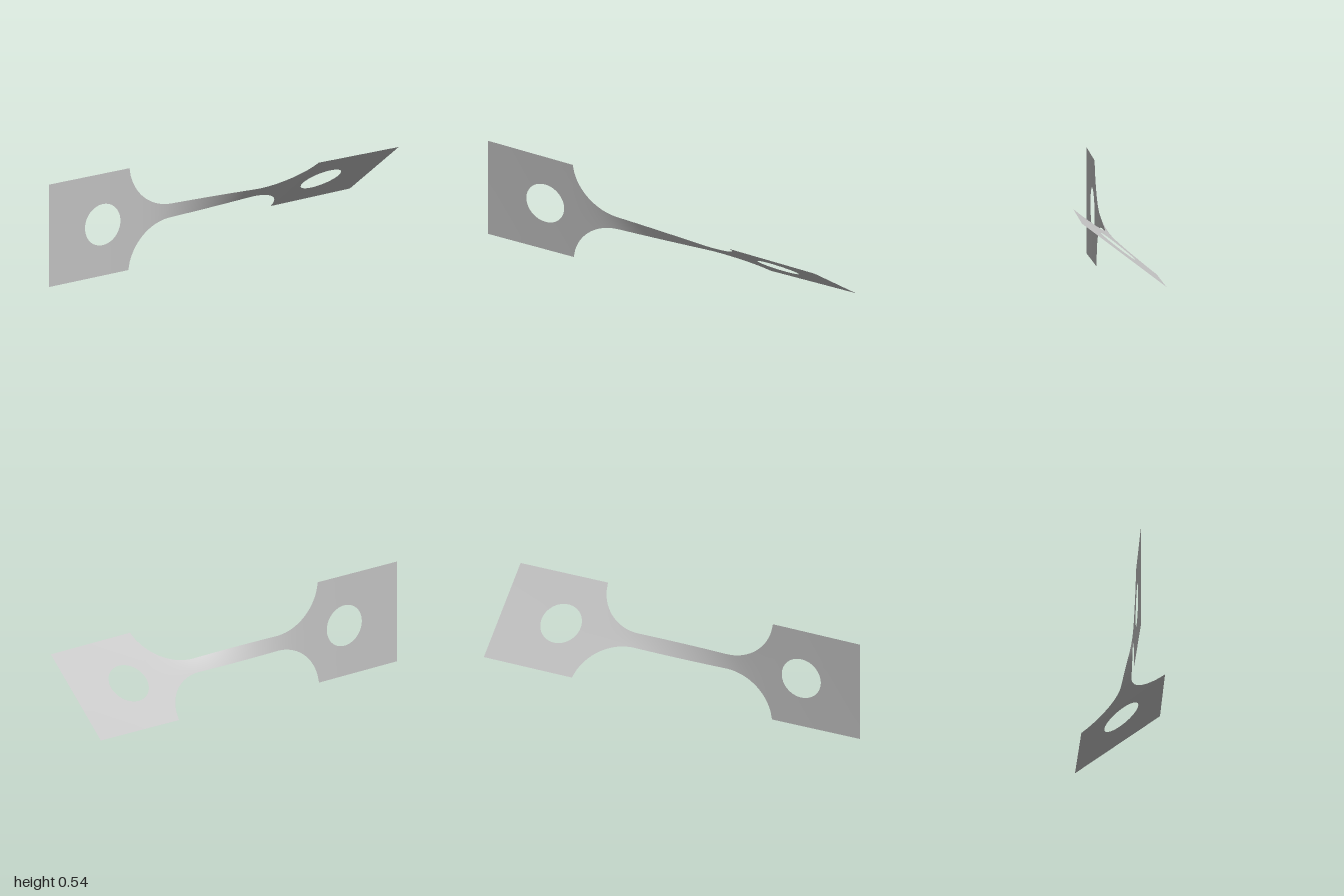
import * as THREE from 'three';
import { mergeVertices } from 'three/addons/utils/BufferGeometryUtils.js';

const HALF = 0.2705;        // half height of the end plates
const NECK = 0.0385;        // half height of the slim neck
const NECK_END = 0.25;      // where the fillets start
const PLATE_START = 0.51;   // where the fillets meet the plates
const HOLE_X = 0.671, HOLE_R = 0.109;
const TWIST = THREE.MathUtils.degToRad(52.5);
const FILLET_R = 0.262;

// half height of the outline at a given x
function halfHeight(x) {
  const d = Math.abs(x) - NECK_END;
  if (d <= 0) return NECK;
  if (d >= PLATE_START - NECK_END) return HALF;
  return Math.min(HALF, NECK + FILLET_R - Math.sqrt(FILLET_R ** 2 - d * d));
}

// twist builds up fastest where the strip is narrow
const STEPS = 800;
const sums = [0];
for (let i = 0; i < STEPS; i++) {
  const x = -1 + (2 * (i + 0.5)) / STEPS;
  sums.push(sums[i] + (NECK / halfHeight(x)) ** 1.75);
}
function twistAt(x) {
  const t = THREE.MathUtils.clamp((x + 1) / 2, 0, 1) * STEPS;
  const i = Math.min(STEPS - 1, Math.floor(t));
  return (TWIST * THREE.MathUtils.lerp(sums[i], sums[i + 1], t - i)) / sums[STEPS];
}

// grid surface: place(u, v) gives flat [x, y], which is then twisted about x
function twistedSheet(cols, rows, place) {
  const geo = new THREE.PlaneGeometry(1, 1, cols, rows);
  const pos = geo.attributes.position;
  for (let i = 0; i < pos.count; i++) {
    const [x, y] = place(pos.getX(i) + 0.5, pos.getY(i) + 0.5);
    const a = twistAt(x);
    pos.setXYZ(i, x, HALF + y * Math.cos(a), y * Math.sin(a));
  }
  geo.deleteAttribute('uv');
  geo.deleteAttribute('normal');
  const merged = mergeVertices(geo, 1e-5);
  merged.computeVertexNormals();
  return merged;
}

// plate with a round hole: a ring between the hole and the rectangle
function plateGeometry(side) {
  const x0 = PLATE_START, x1 = 1;
  const corners = [[x0, -HALF], [x0, HALF], [x1, HALF], [x1, -HALF], [x0, -HALF]];
  return twistedSheet(96, 5, (u, v) => {
    const s = (side > 0 ? u : 1 - u) * 4;
    const k = Math.min(3, Math.floor(s + 1e-6));
    const f = s - k;
    const ox = THREE.MathUtils.lerp(corners[k][0], corners[k + 1][0], f);
    const oy = THREE.MathUtils.lerp(corners[k][1], corners[k + 1][1], f);
    const len = Math.hypot(ox - HOLE_X, oy);
    const ix = HOLE_X + ((ox - HOLE_X) / len) * HOLE_R;
    const iy = (oy / len) * HOLE_R;
    return [side * THREE.MathUtils.lerp(ix, ox, v), THREE.MathUtils.lerp(iy, oy, v)];
  });
}

export function createModel() {
  const group = new THREE.Group();
  group.name = 'twistedStrip';
  const grey = new THREE.MeshStandardMaterial({ color: 0xc0c0c0, side: THREE.DoubleSide });
  grey.name = 'light grey';

  const add = (name, geo) => {
    const mesh = new THREE.Mesh(geo, grey);
    mesh.name = name;
    group.add(mesh);
  };

  // slim neck with its flaring fillets
  add('neck', twistedSheet(120, 24, (u, v) => {
    const x = (2 * u - 1) * PLATE_START;
    return [x, (2 * v - 1) * halfHeight(x)];
  }));

  // drilled end plates
  add('rightPlate', plateGeometry(-1));
  add('leftPlate', plateGeometry(1));
  return group;
}
